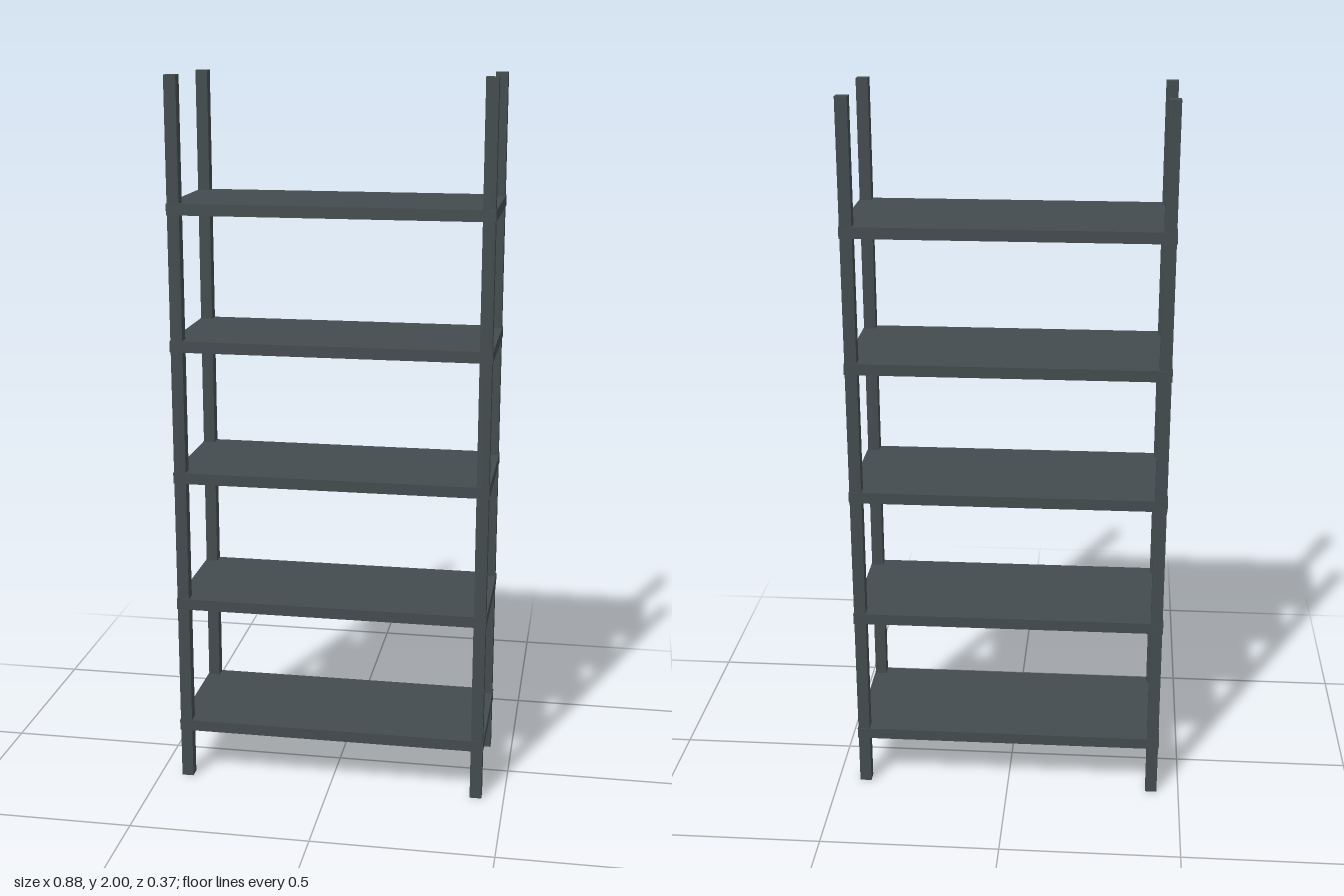
import * as THREE from 'three';

export function createModel() {
  const model = new THREE.Group();
  model.name = 'shelvingUnit';
  const metal = new THREE.MeshStandardMaterial({ color: 0x434b4e });
  metal.name = 'anthracite metal';

  const width = 0.878, depth = 0.369, thickness = 0.031;
  const post = 0.033, inset = 0.002;

  function addBox(name, size, position) {
    const mesh = new THREE.Mesh(new THREE.BoxGeometry(...size), metal);
    mesh.name = name;
    mesh.position.set(...position);
    model.add(mesh);
  }

  // Four corner posts, set just inside the shelf edges
  const px = width / 2 - inset - post / 2;
  const pz = depth / 2 - inset - post / 2;
  for (const [sideName, sx] of [['Left', 1], ['Right', -1]]) {
    for (const [endName, sz] of [['front', 1], ['back', -1]]) {
      addBox(endName + sideName + 'Post', [post, 2, post], [sx * px, 1, sz * pz]);
    }
  }

  // Five evenly spaced shelves
  for (let i = 0; i < 5; i++) {
    addBox('shelf' + (i + 1), [width, thickness, depth], [0, 0.16 + i * 0.3725, 0]);
  }
  return model;
}
